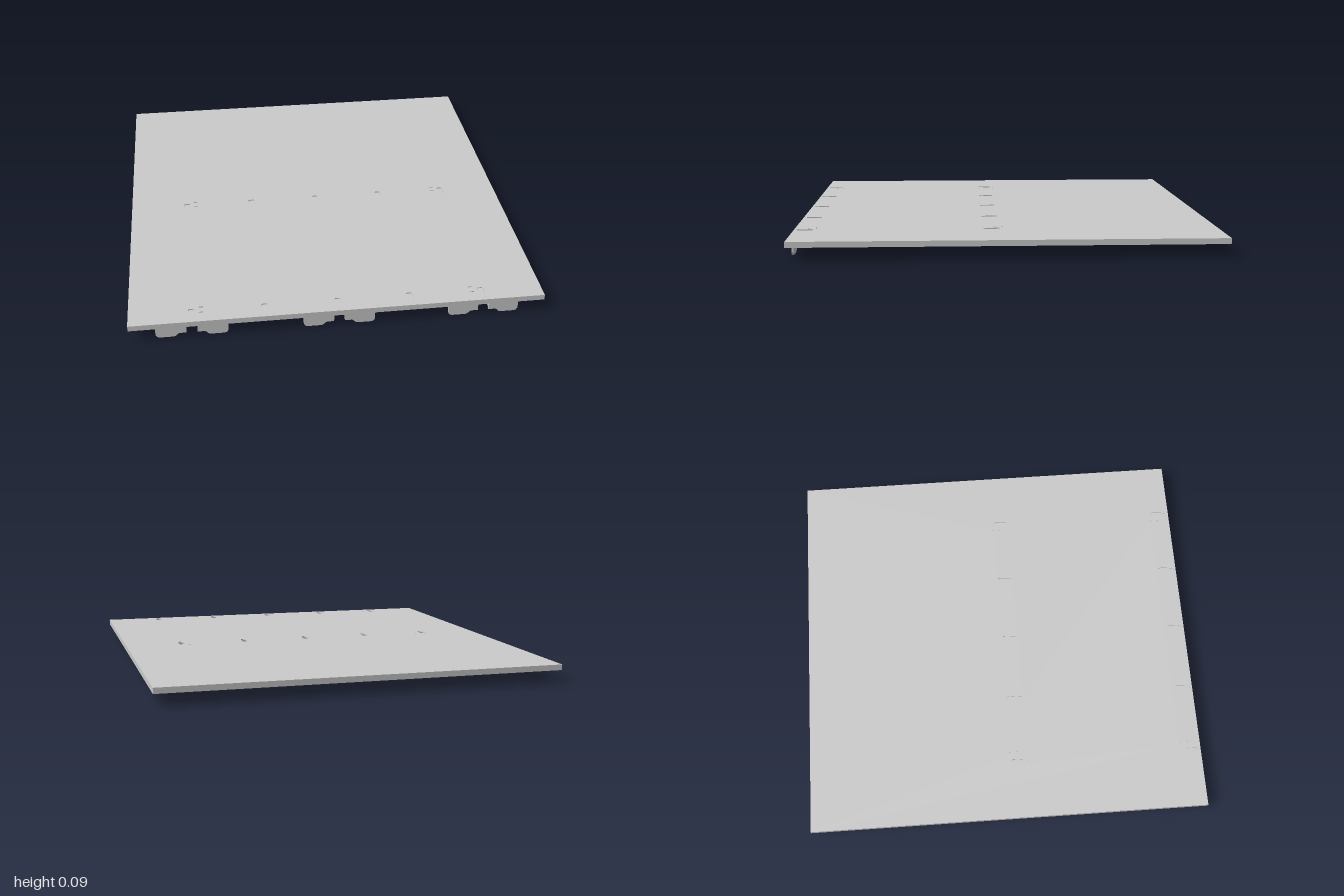
import * as THREE from 'three';

const material = new THREE.MeshStandardMaterial({ color: 0xcccccc, flatShading: true });
const TOP = 0.087, BOTTOM = 0.06, W = 0.96, SHEET = 0.005;

export function createModel() {
  const model = new THREE.Group();

  const add = (parent, name, geometry) => {
    const mesh = new THREE.Mesh(geometry, material);
    mesh.name = name;
    parent.add(mesh);
    return mesh;
  };
  // Box given by its minimum and maximum corners
  const box = (parent, name, x0, x1, y0, y1, z0, z1) =>
    add(parent, name, new THREE.BoxGeometry(x1 - x0, y1 - y0, z1 - z0))
      .position.set((x0 + x1) / 2, (y0 + y1) / 2, (z0 + z1) / 2);
  const points = (list) => list.map(([x, y]) => new THREE.Vector2(x, y));

  // Top sheet, drawn in x and z, with keyholes and small slots
  const sheet = new THREE.Shape(points([[-W, -1], [W, -1], [W, 1], [-W, 1]]));
  for (const z of [0.03, 0.908]) {
    for (const x of [-0.673, -0.337, 0, 0.337, 0.673]) {
      sheet.holes.push(new THREE.Path(points([
        [x - 0.01, z], [x - 0.015, z + 0.007], [x - 0.015, z + 0.028], [x - 0.009, z + 0.072],
        [x - 0.004, z + 0.08], [x + 0.004, z + 0.08], [x + 0.009, z + 0.072],
        [x + 0.015, z + 0.028], [x + 0.015, z + 0.007], [x + 0.01, z],
      ])));
    }
    for (const x of [-0.63, 0.63]) {
      for (const dz of [-0.012, 0.025]) {
        const a = z + dz, b = a + 0.006;
        sheet.holes.push(new THREE.Path(points([
          [x - 0.01, a], [x - 0.01, b], [x + 0.01, b], [x + 0.01, a],
        ])));
      }
    }
  }
  const sheetGeometry = new THREE.ExtrudeGeometry(sheet, { depth: SHEET, bevelEnabled: false });
  sheetGeometry.rotateX(Math.PI / 2);
  add(model, 'topSheet', sheetGeometry).position.y = TOP;

  // Folded rim: outer walls with a narrow return flange
  const under = TOP - SHEET;
  for (const s of [-1, 1]) {
    const range = (a, b) => (s > 0 ? [a, b] : [-b, -a]);
    box(model, 'sideWall', ...range(W - 0.004, W), BOTTOM, under, -1, 1);
    box(model, 'sideReturn', ...range(W - 0.02, W), BOTTOM, BOTTOM + 0.004, -1, 1);
    box(model, 'endWall', -W, W, BOTTOM, under, ...range(0.996, 1));
  }
  box(model, 'backReturn', -W, W, BOTTOM, BOTTOM + 0.004, -1, -0.98);

  // Closed stiffening channels beneath the rows of keyholes
  for (const [name, z0, z1] of [['middleChannel', 0, 0.14], ['frontChannel', 0.86, 1]]) {
    const channel = new THREE.Group();
    channel.name = name;
    const x = W - 0.02;
    box(channel, 'channelFloor', -x, x, BOTTOM, BOTTOM + 0.004, z0, z1);
    box(channel, 'channelBackWall', -x, x, BOTTOM, under, z0, z0 + 0.004);
    box(channel, 'channelFrontWall', -x, x, BOTTOM, under, z1 - 0.004, z1);
    model.add(channel);
  }

  // Mirrored pairs of sheet metal hooks under the front edge
  const tabShape = new THREE.Shape(points([
    [0.025, BOTTOM], [0.025, 0.018], [0.058, 0.018], [0.066, 0.013], [0.073, 0.004], [0.084, 0],
    [0.148, 0], [0.158, 0.004], [0.165, 0.015], [0.165, BOTTOM],
  ]));
  const tabGeometry = new THREE.ExtrudeGeometry(tabShape, { depth: 0.01, bevelEnabled: false });
  for (const x of [-0.675, 0, 0.675]) {
    for (const s of [-1, 1]) {
      const hook = new THREE.Group();
      hook.name = 'hook';
      add(hook, 'hookTab', tabGeometry).position.z = 0.978;
      box(hook, 'hookSideFlange', 0.025, 0.031, 0.027, BOTTOM, 0.925, 0.98);
      box(hook, 'hookMountingFlange', 0.025, 0.165, 0.054, BOTTOM, 0.925, 0.98);
      hook.position.x = x;
      hook.scale.x = s;
      model.add(hook);
    }
  }
  return model;
}
